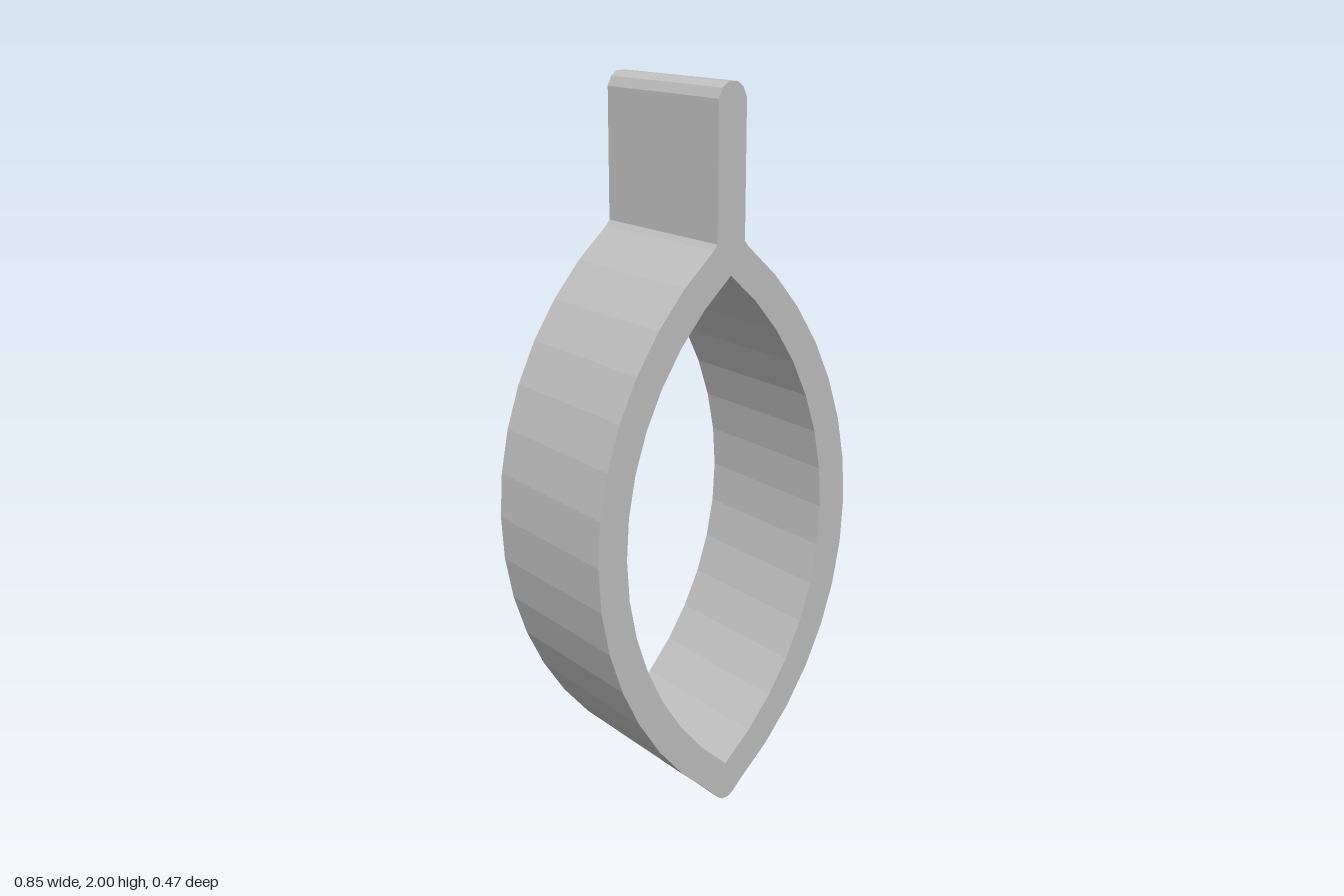
import * as THREE from 'three';

const DEPTH = 0.474;
const SEGMENTS = 14;
const ARC = { x: -0.569, y: 0.8125, half: 0.89 }; // centre and half angle of the right-hand arc

// Points of the right-hand arc, from bottom to top
function arcPoints(radius) {
  return Array.from({ length: SEGMENTS + 1 }, (_, i) => {
    const a = ARC.half * (2 * i / SEGMENTS - 1);
    return new THREE.Vector2(ARC.x + radius * Math.cos(a), ARC.y + radius * Math.sin(a));
  });
}

// Closed symmetric outline from its right half, listed bottom to top
function mirrored(right) {
  const left = right.filter(p => p.x > 0.001).map(p => new THREE.Vector2(-p.x, p.y)).reverse();
  return [...right, ...left];
}

export function createModel() {
  const group = new THREE.Group();
  const grey = new THREE.MeshStandardMaterial({ color: 0xc0c0c0 });
  grey.name = 'light grey';

  const v = (x, y) => new THREE.Vector2(x, y);

  // Outer outline: rounded bottom tip, arc, upright tab with rounded top
  const outer = mirrored([
    v(0.012, 0), v(0.03, 0.013),
    ...arcPoints(0.994),
    v(0.045, 1.6), v(0.045, 1.96), v(0.033, 1.986), v(0.014, 2),
  ]);

  // Pointed oval opening
  const inner = arcPoints(0.904);
  inner[0].set(0, 0.11);
  inner[SEGMENTS].set(0, 1.515);

  const shape = new THREE.Shape(outer);
  shape.holes.push(new THREE.Path(mirrored(inner)));

  const geometry = new THREE.ExtrudeGeometry(shape, { depth: DEPTH, bevelEnabled: false });
  geometry.translate(0, 0, -DEPTH / 2);

  const body = new THREE.Mesh(geometry, grey);
  body.name = 'pointedLoopWithTab';
  group.add(body);
  return group;
}
